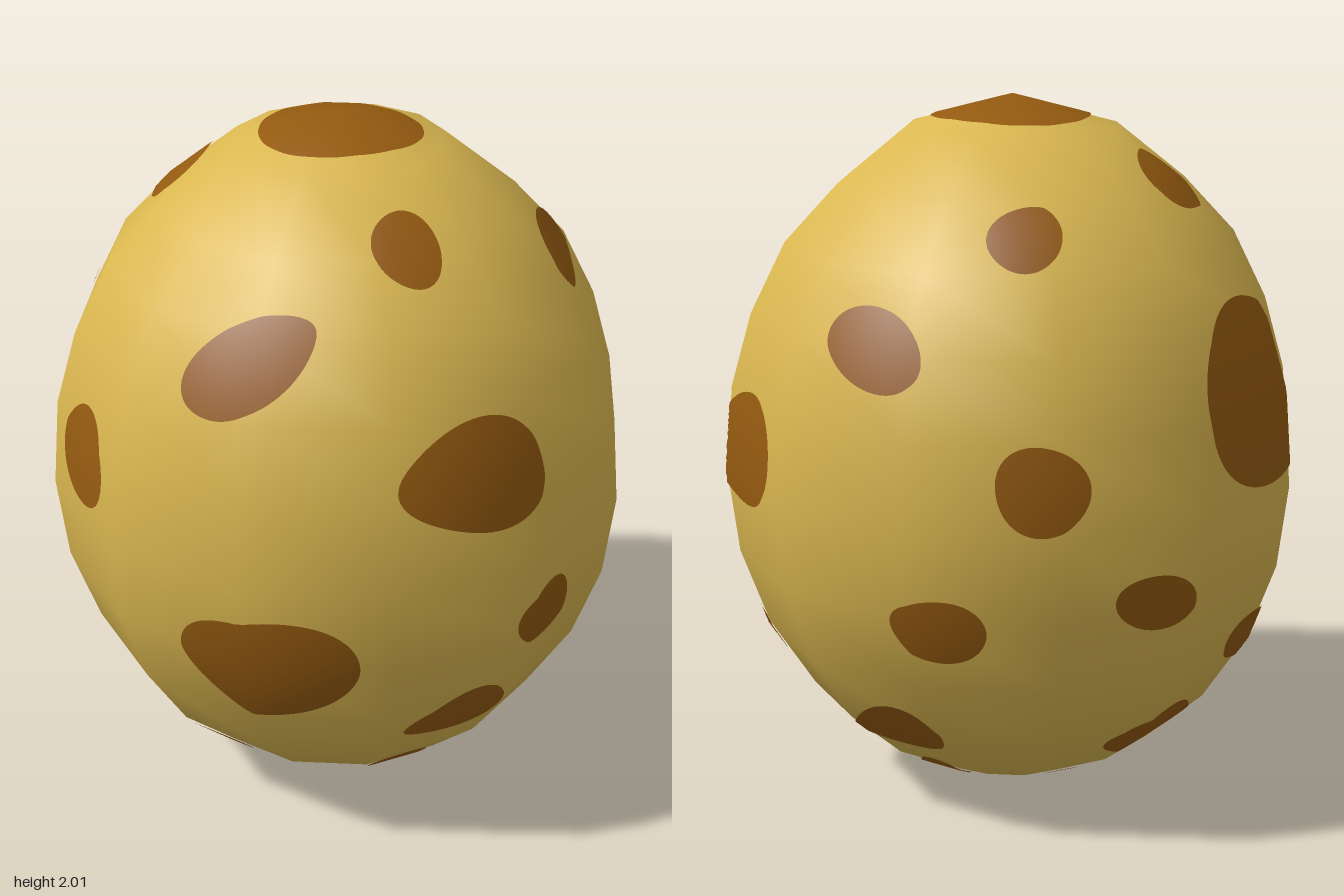
import * as THREE from 'three';

const SIDES = 12;
const CORE = new THREE.Vector3(0, 0.95, 0);

// Shell profile: [radius, height] from bottom to top
const PROFILE = [
  [0, 0], [0.21, 0.03], [0.42, 0.13], [0.59, 0.28], [0.72, 0.48], [0.8, 0.7], [0.83, 0.94],
  [0.81, 1.19], [0.75, 1.4], [0.65, 1.6], [0.5, 1.76], [0.3, 1.92], [0, 2],
];

function radiusAt(y) {
  for (let i = 1; i < PROFILE.length; i++) {
    const [r0, y0] = PROFILE[i - 1];
    const [r1, y1] = PROFILE[i];
    if (y >= y0 && y <= y1) return r0 + ((r1 - r0) * (y - y0)) / (y1 - y0);
  }
  return 0;
}

// Is a point inside the twelve-sided shell?
function inside(p) {
  const step = (2 * Math.PI) / SIDES;
  const a = Math.atan2(p.x, p.z) + 2 * Math.PI;
  const facet = Math.cos(step / 2) / Math.cos((a % step) - step / 2);
  return Math.hypot(p.x, p.z) < radiusAt(p.y) * facet;
}

// Smooth outward normal
function normalAt(p) {
  const half = p.y > CORE.y ? 1.05 : 0.95;
  return new THREE.Vector3(p.x / 0.69, (p.y - CORE.y) / (half * half), p.z / 0.69).normalize();
}

// Push a point along its ray from the core onto the shell, plus a hair
function drape(p) {
  const ray = p.clone().sub(CORE);
  const q = new THREE.Vector3();
  let lo = 0.3, hi = 2.5;
  for (let i = 0; i < 26; i++) {
    const t = (lo + hi) / 2;
    q.copy(CORE).addScaledVector(ray, t);
    if (inside(q)) lo = t;
    else hi = t;
  }
  return q.addScaledVector(normalAt(q), 0.006);
}

// Rounded blotch that follows the shell; angles in degrees, azimuth from +z towards +x,
// w and h are half sizes, pear widens the right-hand end
function spotGeometry(azimuth, y, w, h, tilt = 0, pear = 0) {
  const RINGS = 12, SEGS = 64;
  const az = THREE.MathUtils.degToRad(azimuth);
  const tl = THREE.MathUtils.degToRad(tilt);
  const r = radiusAt(y);
  const centre = new THREE.Vector3(r * Math.sin(az), y, r * Math.cos(az));
  const u = new THREE.Vector3(Math.cos(az), 0, -Math.sin(az));
  const v = normalAt(centre).cross(u);
  const pos = [], nor = [], idx = [];
  const add = (p) => {
    const q = drape(p);
    pos.push(...q.toArray());
    nor.push(...normalAt(q).toArray());
  };
  add(centre);
  for (let i = 1; i <= RINGS; i++) {
    for (let j = 0; j < SEGS; j++) {
      const t = (j / SEGS) * 2 * Math.PI;
      const k = (i / RINGS) * (1 + 0.04 * Math.sin(3 * t + azimuth));
      const a = k * w * Math.cos(t);
      const b = k * h * Math.sin(t) * (1 + pear * Math.cos(t));
      add(centre.clone()
        .addScaledVector(u, a * Math.cos(tl) - b * Math.sin(tl))
        .addScaledVector(v, a * Math.sin(tl) + b * Math.cos(tl)));
      const n = (j + 1) % SEGS;
      const outer = 1 + (i - 1) * SEGS;
      const inner = outer - SEGS;
      if (i === 1) idx.push(0, outer + j, outer + n);
      else idx.push(inner + j, outer + j, outer + n, inner + j, outer + n, inner + n);
    }
  }
  const g = new THREE.BufferGeometry();
  g.setAttribute('position', new THREE.Float32BufferAttribute(pos, 3));
  g.setAttribute('normal', new THREE.Float32BufferAttribute(nor, 3));
  g.setIndex(idx);
  return g;
}

export function createModel() {
  const group = new THREE.Group();
  group.name = 'spottedEgg';
  const shellMat = new THREE.MeshStandardMaterial({ color: 0xdab750 });
  shellMat.name = 'golden shell';
  const spotMat = new THREE.MeshStandardMaterial({ color: 0x945a10 });
  spotMat.name = 'brown spot';

  // Shell
  const points = PROFILE.map(([r, y]) => new THREE.Vector2(r, y));
  const shell = new THREE.Mesh(new THREE.LatheGeometry(points, SIDES), shellMat);
  shell.name = 'shell';
  group.add(shell);

  const spots = new THREE.Group();
  spots.name = 'spots';
  group.add(spots);
  const spot = (name, ...args) => {
    const mesh = new THREE.Mesh(spotGeometry(...args), spotMat);
    mesh.name = name;
    spots.add(mesh);
  };

  // Poles
  spot('topSpot', 0, 2, 0.24, 0.235, -45, -0.05);
  spot('bottomSpot', 0, 0, 0.18, 0.18);

  // Front
  spot('frontUpperSpot', 11, 1.78, 0.095, 0.115);
  spot('frontRightShoulderSpot', -31.5, 1.54, 0.21, 0.115, 37, -0.2);
  spot('frontMiddleSpot', 16, 1.24, 0.225, 0.16, -5, 0.25);
  spot('frontBigSpot', -25.5, 0.67, 0.27, 0.185);
  spot('frontLeftSpot', 35, 0.75, 0.115, 0.1);
  spot('frontLowerSpot', 18, 0.42, 0.155, 0.1, 18, 0.2);
  spot('frontBaseSpot', 12, 0.145, 0.09, 0.085);

  // Left side
  spot('leftUpperSpot', 74, 1.64, 0.17, 0.09, 17, -0.2);
  spot('leftBigSpot', 99, 1.04, 0.255, 0.16, 12, 0.2);
  spot('leftLowerSpot', 81, 0.455, 0.155, 0.125, 0, -0.1);
  spot('leftBaseSpot', 82, 0.13, 0.09, 0.1);

  // Back
  spot('backLeftUpperSpot', 140, 1.42, 0.165, 0.11, -22, 0.15);
  spot('backUpperSpot', 174, 1.69, 0.1, 0.105, -25);
  spot('backMiddleSpot', 176, 1.07, 0.13, 0.12, -20);
  spot('backLeftMiddleSpot', 156, 0.66, 0.135, 0.1, -12);
  spot('backLeftLowerSpot', 136, 0.27, 0.17, 0.1, 18, 0.15);
  spot('backLeftBaseSpot', 141, 0.115, 0.08, 0.07, 20);
  spot('backLowerSpot', 200, 0.72, 0.125, 0.085, -8);
  spot('backBaseSpot', 200, 0.07, 0.05, 0.03, 20);
  spot('backRightBaseSpot', 217, 0.24, 0.16, 0.11, 5);

  // Right side
  spot('rightBigSpot', 230, 1.24, 0.265, 0.28);
  spot('rightUpperSpot', 243, 1.79, 0.13, 0.115, 0, -0.2);
  spot('rightLowerSpot', 239, 0.5, 0.135, 0.085, 12);
  spot('rightMiddleSpot', 286, 1.13, 0.145, 0.15);
  spot('rightBaseSpot', 299, 0.18, 0.13, 0.11);

  return group;
}
